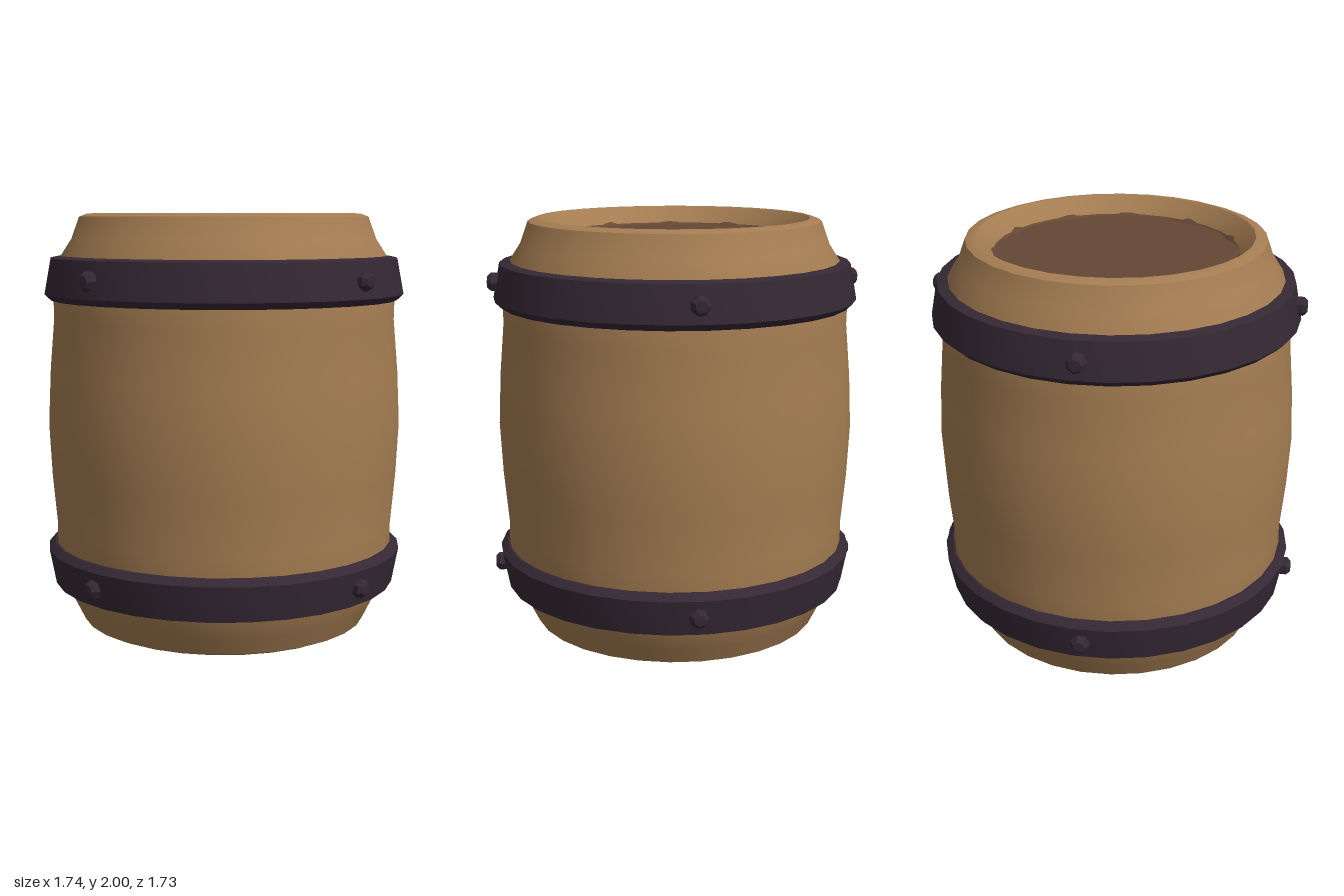
import * as THREE from 'three';
import { toCreasedNormals } from 'three/addons/utils/BufferGeometryUtils.js';

const material = (name, color) => {
  const m = new THREE.MeshStandardMaterial({ color });
  m.name = name;
  return m;
};

// Turned part from [radius, height] pairs, with a vertex on the x axis
function turned(name, profile, mat, sides = 30, rule = null) {
  const points = profile.map(([r, y]) => new THREE.Vector2(r, y));
  let geo = new THREE.LatheGeometry(points, sides, Math.PI / 2);
  if (rule) {
    const pos = geo.attributes.position;
    for (let i = 0; i < pos.count; i++) {
      const x = pos.getX(i), z = pos.getZ(i);
      const s = rule(Math.hypot(x, z), Math.atan2(x, z));
      pos.setX(i, x * s);
      pos.setZ(i, z * s);
    }
  }
  geo = toCreasedNormals(geo, 0.5);
  const mesh = new THREE.Mesh(geo, mat);
  mesh.name = name;
  return mesh;
}

export function createModel() {
  const wood = material('wood', 0xa57d52);
  const darkWood = material('dark wood', 0x654735);
  const iron = material('dark iron', 0x352834);
  const barrel = new THREE.Group();
  barrel.name = 'barrel';

  // Bulging shell with rolled rims and sloping inner lips
  barrel.add(turned('shell', [
    [0.58, 0.075], [0.645, 0], [0.66, 0], [0.70, 0.018], [0.74, 0.1], [0.79, 0.2],
    [0.83, 0.4], [0.828, 0.5], [0.85, 0.75], [0.862, 1], [0.85, 1.25], [0.828, 1.5],
    [0.83, 1.6], [0.79, 1.8], [0.738, 1.88], [0.70, 1.985], [0.66, 2], [0.645, 2],
    [0.585, 1.935], [0.575, 1.92]
  ], wood));

  // Sunken ends with a rippled edge
  const ripple = (depth) => (r, angle) =>
    r > 0.1 ? 1 + (depth * Math.cos(11 * angle)) / r : 1;
  barrel.add(turned('lid', [[0.60, 1.937], [0.567, 1.91], [0, 1.91]], darkWood, 88, ripple(0.011)));
  barrel.add(turned('bottom', [[0, 0.022], [0.637, 0.022]], darkWood, 88, ripple(0.022)));

  // Flared hoops, mirrored about mid height, each with four bolts on the diagonals
  const hoopProfile = [
    [0.78, 0.215], [0.79, 0.2], [0.84, 0.21], [0.872, 0.38], [0.84, 0.41], [0.81, 0.41]
  ];
  for (const side of ['lower', 'upper']) {
    const flip = side === 'upper';
    const profile = flip ? hoopProfile.map(([r, y]) => [r, 2 - y]).reverse() : hoopProfile;
    barrel.add(turned(side + 'Hoop', profile, iron));

    const bolts = new THREE.Group();
    bolts.name = side + 'Bolts';
    for (let i = 0; i < 4; i++) {
      const holder = new THREE.Group();
      holder.rotation.y = Math.PI / 4 + (i * Math.PI) / 2;
      const bolt = turned('bolt', [[0.045, 0], [0.045, 0.05], [0.028, 0.068], [0, 0.07]], iron, 7);
      bolt.rotation.x = Math.PI / 2;
      bolt.position.set(0, flip ? 1.7 : 0.3, 0.83);
      holder.add(bolt);
      bolts.add(holder);
    }
    barrel.add(bolts);
  }
  return barrel;
}
